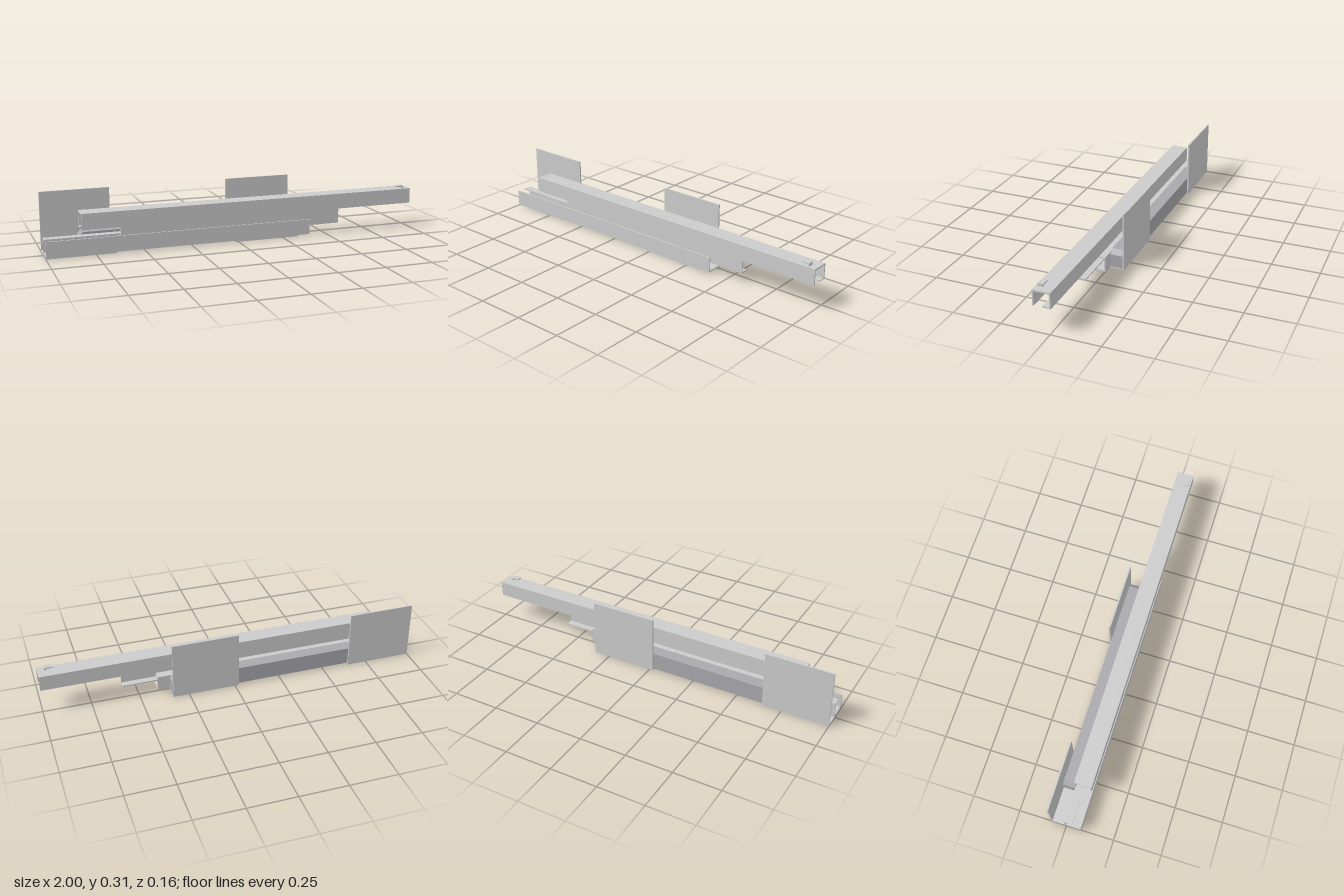
import * as THREE from 'three';

const steel = new THREE.MeshStandardMaterial({ color: 0xcccccc });
const spacerGrey = new THREE.MeshStandardMaterial({ color: 0xa8a8ad });

function shapeOf(points) {
  return new THREE.Shape(points.map(([a, b]) => new THREE.Vector2(a, b)));
}

// Extrude a [z, y] cross-section along x from x0 to x1
function bar(name, profile, x0, x1) {
  const geo = new THREE.ExtrudeGeometry(shapeOf(profile.map(([z, y]) => [-z, y])),
    { depth: x1 - x0, bevelEnabled: false });
  geo.rotateY(Math.PI / 2);
  geo.translate(x0, 0, 0);
  const mesh = new THREE.Mesh(geo, steel);
  mesh.name = name;
  return mesh;
}

// Extrude an [x, y] outline along z from z0 to z1
function slab(name, outline, z0, z1, material) {
  const geo = new THREE.ExtrudeGeometry(shapeOf(outline), { depth: z1 - z0, bevelEnabled: false });
  geo.translate(0, 0, z0);
  const mesh = new THREE.Mesh(geo, material);
  mesh.name = name;
  return mesh;
}

export function createModel() {
  const group = new THREE.Group();
  group.name = 'telescopicSlide';

  // Outer channel with an inward lip at the back; the upper rail is its mirror in y
  const channel = [
    [0.082, 0.008], [0.082, 0.089], [0.075, 0.089], [0.075, 0.0155],
    [-0.002, 0.0155], [-0.002, 0.083], [0.034, 0.083], [0.034, 0.089],
    [-0.009, 0.089], [-0.009, 0.008],
  ];
  const flipped = channel.map(([z, y]) => [z, 0.2235 - y]);
  group.add(bar('lowerRail', channel, -1, 0.4));
  group.add(bar('upperRail', flipped, -0.82, 1));

  // C-shaped rail joining the two channels
  const middle = [
    [0.057, 0.05], [0.057, 0.174], [0.016, 0.174], [0.016, 0.167],
    [0.05, 0.167], [0.05, 0.057], [0.016, 0.057], [0.016, 0.05],
  ];
  group.add(bar('middleRail', middle, -0.62, 0.58));

  // L-shaped mounting brackets
  const bracket = [
    [0.077, 0], [0.077, 0.008], [-0.074, 0.008], [-0.074, 0.307], [-0.082, 0.307], [-0.082, 0],
  ];
  for (const x of [-1, -0.02]) group.add(bar('mountingBracket', bracket, x, x + 0.355));

  // Spacer block with chamfered ends behind the lower rail
  group.add(slab('spacerBlock', [
    [-0.82, 0.008], [0.335, 0.008], [0.335, 0.075], [0.312, 0.1], [-0.798, 0.1], [-0.82, 0.075],
  ], -0.074, -0.009, spacerGrey));

  // Bent catch on top of the upper rail
  group.add(slab('catchTab', [
    [0.955, 0.215], [0.962, 0.215], [0.962, 0.231], [0.922, 0.231], [0.922, 0.225], [0.955, 0.225],
  ], 0.042, 0.071, steel));

  return group;
}
